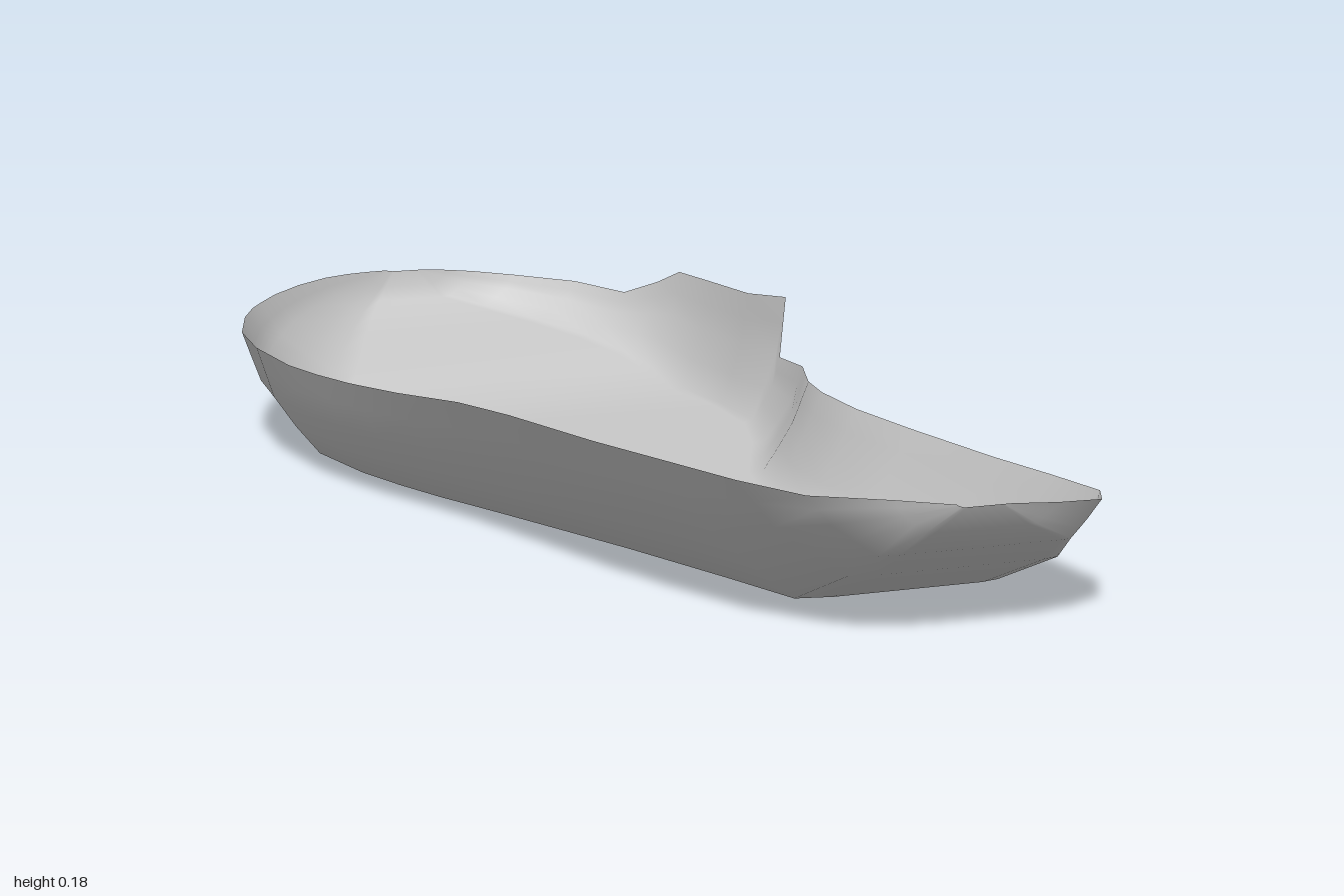
import * as THREE from 'three';

// Sections from toe (-z) to heel (+z):
// [z, left rim x, left rim y, right rim x, right rim y, floor y, left inset, right inset]
const front = [
  [-1.0, 0.02, 0.16, 0.08, 0.158, 0.158, 0.01, 0.01],
  [-0.995, -0.015, 0.16, 0.12, 0.156, 0.135, 0.025, 0.025],
  [-0.985, -0.05, 0.16, 0.16, 0.153, 0.115, 0.04, 0.04],
  [-0.96, -0.095, 0.16, 0.22, 0.147, 0.1, 0.06, 0.05],
  [-0.9, -0.16, 0.16, 0.30, 0.14, 0.08, 0.085, 0.06],
  [-0.82, -0.225, 0.16, 0.35, 0.13, 0.063, 0.105, 0.06],
  [-0.75, -0.27, 0.16, 0.376, 0.154, 0.046, 0.115, 0.055],
  [-0.7, -0.3, 0.16, 0.39, 0.175, 0.03, 0.115, 0.05],
  [-0.62, -0.338, 0.16, 0.405, 0.17, 0.005, 0.11, 0.045],
  [-0.5, -0.382, 0.158, 0.412, 0.167, 0, 0.1, 0.042],
  [-0.362, -0.406, 0.157, 0.407, 0.18, 0, 0.09, 0.055],
];
const back = [
  [-0.358, -0.406, 0.157, 0.396, 0.092, 0, 0.09, 0.044],
  [-0.2, -0.415, 0.158, 0.355, 0.105, 0, 0.105, 0.06],
  [-0.1, -0.41, 0.16, 0.31, 0.112, 0, 0.115, 0.065],
  [0, -0.4, 0.163, 0.265, 0.12, 0, 0.125, 0.068],
  [0.12, -0.38, 0.168, 0.225, 0.127, 0, 0.135, 0.068],
  [0.27, -0.355, 0.178, 0.2, 0.13, 0, 0.145, 0.068],
  [0.4, -0.34, 0.182, 0.21, 0.125, 0, 0.16, 0.068],
  [0.6, -0.315, 0.182, 0.22, 0.122, 0, 0.175, 0.07],
  [0.74, -0.29, 0.182, 0.22, 0.125, 0.002, 0.17, 0.07],
  [0.87, -0.258, 0.179, 0.21, 0.13, 0.055, 0.14, 0.055],
  [0.95, -0.21, 0.172, 0.165, 0.138, 0.095, 0.09, 0.04],
  [0.985, -0.12, 0.166, 0.09, 0.147, 0.125, 0.04, 0.03],
  [1.0, -0.05, 0.158, 0.02, 0.154, 0.154, 0.01, 0.01],
];
const sections = [...front, ...back];

// Side wall from rim to floor: [share of inset, share of wall height]
const bulged = [[0, 1], [0.13, 0.78], [0.27, 0.55], [0.62, 0.27], [1, 0.015], [1.3, 0]];
const straight = [[0, 1], [0.22, 0.77], [0.45, 0.52], [0.72, 0.27], [1, 0.015], [1.3, 0]];
const columns = bulged.length * 2 + 1;

function shellGeometry() {
  const positions = [];
  const indices = [];
  for (const [z, xl, yl, xr, yr, floor, insetL, insetR] of sections) {
    // Walls turn from bulged at the toe to straight at the heel
    const t = THREE.MathUtils.smoothstep(z, -0.3, 0.3);
    const side = (x, y, inset, blend) => bulged.map(([a, h], k) => [
      x + THREE.MathUtils.lerp(a, straight[k][0], blend) * inset,
      floor + (y - floor) * THREE.MathUtils.lerp(h, straight[k][1], blend),
    ]);
    const left = side(xl, yl, insetL, t * 0.4);
    const right = side(xr, yr, -insetR, t).reverse();
    const middle = [(left[5][0] + right[0][0]) / 2, floor];
    for (const [x, y] of [...left, middle, ...right]) positions.push(x, y, z);
  }
  for (let i = 0; i < sections.length - 1; i++) {
    for (let j = 0; j < columns - 1; j++) {
      const a = i * columns + j;
      indices.push(a, a + columns, a + 1, a + 1, a + columns, a + columns + 1);
    }
  }
  const geometry = new THREE.BufferGeometry();
  geometry.setAttribute('position', new THREE.Float32BufferAttribute(positions, 3));
  geometry.setIndex(indices);
  geometry.computeVertexNormals();

  // Shade smoothly across the notch in the right rim
  const normals = geometry.attributes.normal;
  const p = new THREE.Vector3();
  const q = new THREE.Vector3();
  for (let j = 0; j < columns; j++) {
    const a = (front.length - 1) * columns + j;
    p.fromBufferAttribute(normals, a);
    q.fromBufferAttribute(normals, a + columns);
    p.add(q).normalize();
    normals.setXYZ(a, p.x, p.y, p.z);
    normals.setXYZ(a + columns, p.x, p.y, p.z);
  }
  return geometry;
}

export function createModel() {
  const group = new THREE.Group();
  group.name = 'insole';
  const grey = new THREE.MeshStandardMaterial({ color: 0xc8c8c8, side: THREE.DoubleSide });
  grey.name = 'grey';

  // Thin open shell with a raised rim
  const shell = new THREE.Mesh(shellGeometry(), grey);
  shell.name = 'soleShell';
  group.add(shell);
  return group;
}
